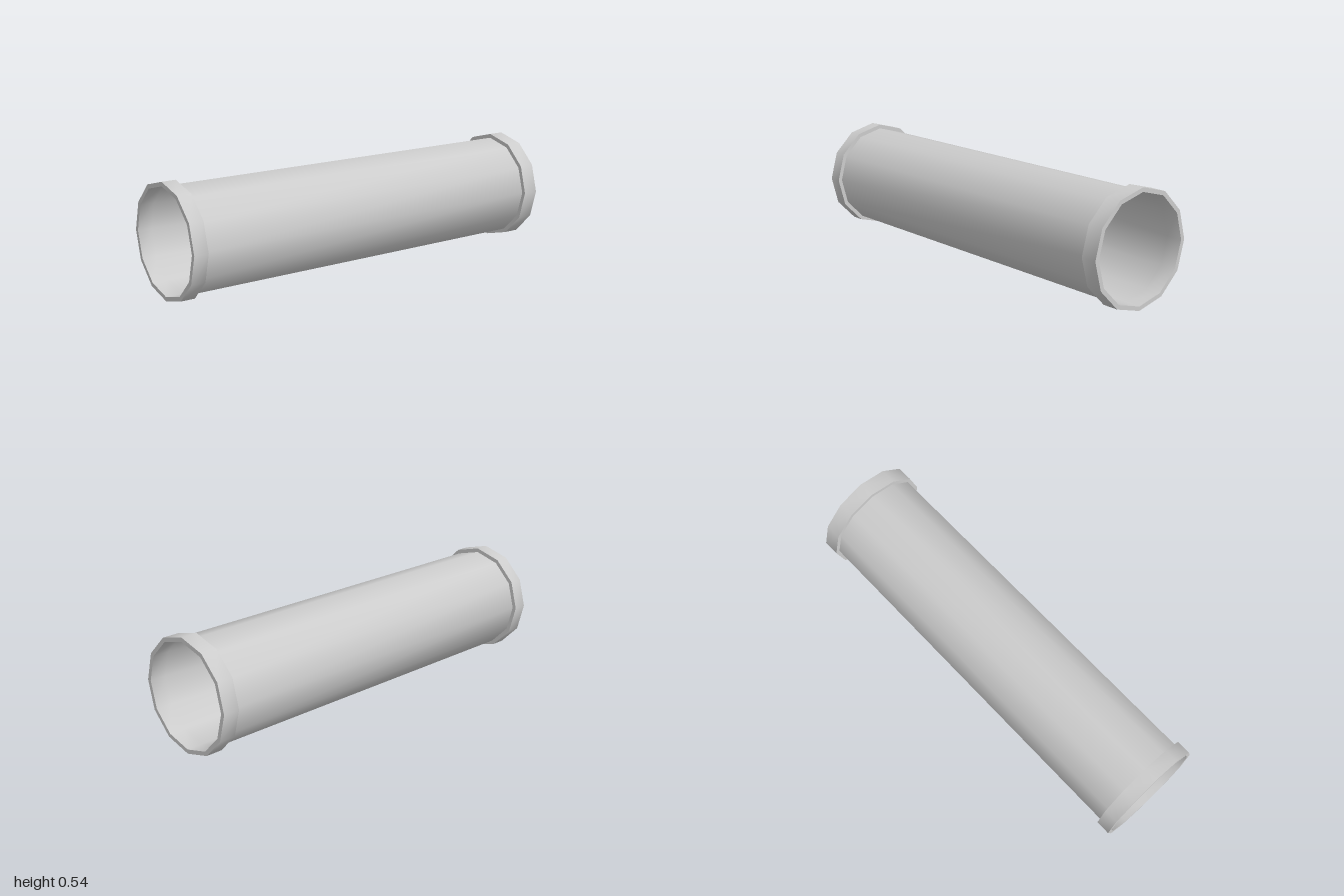
import * as THREE from 'three';
import { toCreasedNormals } from 'three/addons/utils/BufferGeometryUtils.js';

const SIDES = 12;
const BORE = 0.25;
const RIM = 0.27;

// Twelve-sided surface turned around the z axis from [radius, z] points
function turned(name, points) {
  const profile = points.map(([r, z]) => new THREE.Vector2(r, z));
  const lathe = new THREE.LatheGeometry(profile, SIDES).rotateX(Math.PI / 2);
  // Smooth around the pipe, sharp at the rims
  const geometry = toCreasedNormals(lathe, 0.7);
  const material = new THREE.MeshStandardMaterial({ color: 0xcccccc, side: THREE.DoubleSide });
  const mesh = new THREE.Mesh(geometry, material);
  mesh.name = name;
  return mesh;
}

// Rectangular-section ring between two z positions
function collar(name, z0, z1) {
  return turned(name, [[RIM, z0], [RIM, z1], [BORE, z1], [BORE, z0], [RIM, z0]]);
}

export function createModel() {
  const model = new THREE.Group();
  model.name = 'pipe';

  // Thin-walled tube with a raised collar at each end
  const pipe = new THREE.Group();
  pipe.name = 'pipeBody';
  pipe.add(
    turned('tube', [[BORE, -0.92], [BORE, 0.93]]),
    collar('frontCollar', 0.93, 0.999),
    collar('backCollar', -0.999, -0.92)
  );

  // Rests on the ground, turned very slightly off the z axis
  pipe.position.y = RIM;
  pipe.rotation.y = 0.0055;
  model.add(pipe);
  return model;
}
